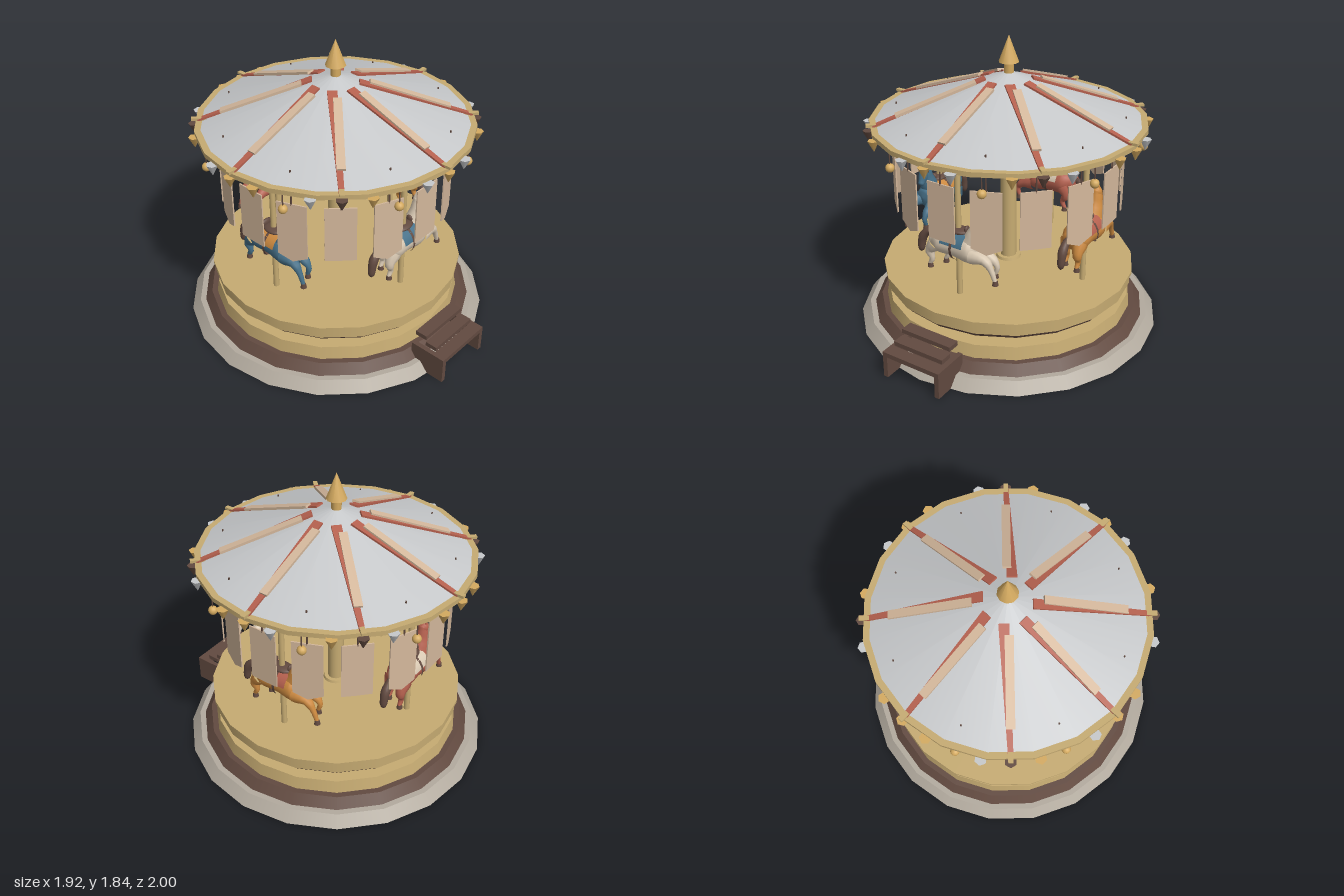
import * as THREE from 'three';

const mat = (name, color) => {
  const m = new THREE.MeshStandardMaterial({ color });
  m.name = name;
  return m;
};

const TAU = Math.PI * 2;
const SLOPE = Math.atan(0.285 / 0.8);

export function createModel() {
  const M = {
    gold: mat('pale gold', 0xc6ab72),
    bright: mat('bright gold', 0xd4aa60),
    brown: mat('dark brown', 0x624a40),
    stone: mat('stone', 0xb2aa9e),
    silver: mat('silver', 0xc6c8ca),
    tan: mat('tan cloth', 0xd4b89c),
    cream: mat('cream', 0xd8c8b2),
    blue: mat('blue', 0x467088),
    orange: mat('orange', 0xcd8a40),
    red: mat('red', 0xb4604e),
  };

  const model = new THREE.Group();
  model.name = 'carousel';
  const ride = new THREE.Group();
  ride.name = 'ride';
  ride.position.z = -0.04;
  model.add(ride);

  const add = (parent, name, geo, material, x = 0, y = 0, z = 0) => {
    const mesh = new THREE.Mesh(geo, material);
    mesh.name = name;
    mesh.position.set(x, y, z);
    parent.add(mesh);
    return mesh;
  };
  const box = (parent, name, w, h, d, m, x, y, z) =>
    add(parent, name, new THREE.BoxGeometry(w, h, d), m, x, y, z);
  // upright drum between two heights
  const drum = (parent, name, rTop, rBottom, y0, y1, m, sides = 20, x = 0, z = 0) =>
    add(parent, name, new THREE.CylinderGeometry(rTop, rBottom, y1 - y0, sides), m, x, (y0 + y1) / 2, z);
  // group turned about the axis; its +z points outward
  const spoke = (name, angle) => {
    const g = new THREE.Group();
    g.name = name;
    g.rotation.y = angle;
    ride.add(g);
    return g;
  };

  // base and deck
  drum(ride, 'stoneBase', 0.905, 0.96, 0, 0.065, M.stone);
  drum(ride, 'lowerSkirt', 0.825, 0.87, 0.065, 0.125, M.brown);
  drum(ride, 'lowerPlinth', 0.775, 0.79, 0.125, 0.205, M.gold);
  drum(ride, 'turntableHub', 0.19, 0.2, 0.2, 0.26, M.gold);
  drum(ride, 'deckSkirt', 0.775, 0.755, 0.257, 0.292, M.brown);
  drum(ride, 'deckBand', 0.785, 0.785, 0.29, 0.355, M.gold);
  drum(ride, 'deck', 0.797, 0.797, 0.355, 0.375, M.gold);
  drum(ride, 'poleCollar', 0.075, 0.08, 0.375, 0.392, M.gold);
  drum(ride, 'centrePole', 0.05, 0.05, 0.375, 1.31, M.gold);

  // canopy
  drum(ride, 'canopyRim', 0.838, 0.838, 1.304, 1.333, M.gold);
  drum(ride, 'canopyRoof', 0.002, 0.8, 1.333, 1.62, M.silver);
  drum(ride, 'finialNeck', 0.03, 0.03, 1.61, 1.68, M.bright, 10);
  drum(ride, 'finialCone', 0.001, 0.062, 1.675, 1.835, M.bright, 10);

  // roof ribs: a tapered red strip with a cloth plank beside it
  const k = 1 / Math.cos(SLOPE);
  const strip = new THREE.Shape([
    [0.14, -0.005], [0.82, -0.015], [0.82, 0.015], [0.14, 0.055],
  ].map(([x, y]) => new THREE.Vector2(x * k, y)));
  const stripGeo = new THREE.ExtrudeGeometry(strip, { depth: 0.012, bevelEnabled: false });
  stripGeo.rotateX(Math.PI / 2);
  for (let i = 0; i < 8; i++) {
    const g = spoke('roofRib', (i * TAU) / 8);
    add(g, 'ribStrip', stripGeo, M.red, 0, 1.632, 0).rotation.z = -SLOPE;
    box(g, 'ribPlank', 0.48 * k, 0.016, 0.05, M.tan, 0.44, 1.635 - 0.44 * Math.tan(SLOPE), -0.003)
      .rotation.z = -SLOPE;
    box(g, 'ribTip', 0.09, 0.016, 0.028, M.gold, 0.81, 1.341, 0);
  }

  // cloth panels on hangers, alternately straight and pointed
  for (let i = 0; i < 16; i++) {
    const g = spoke('hangingPanel', (i * TAU) / 16);
    const tip = i % 2 ? 0.765 : 0.803;
    const shape = new THREE.Shape([
      [-0.09, 0.805], [0, tip], [0.09, 0.805], [0.09, 1.16], [-0.09, 1.16],
    ].map(([x, y]) => new THREE.Vector2(x, y)));
    add(g, 'panel', new THREE.ExtrudeGeometry(shape, { depth: 0.008, bevelEnabled: false }), M.tan, 0, 0, 0.696);
    drum(g, 'panelHanger', 0.005, 0.005, 1.15, i % 2 ? 1.378 : 1.31, M.brown, 6, 0, 0.7);
  }

  // rim ornaments: small drops with round baubles between
  for (let i = 0; i < 32; i++) {
    const g = spoke('rimOrnament', (i * TAU) / 32);
    if (i % 4 === 2) {
      drum(g, 'baubleRod', 0.004, 0.004, 1.21, 1.31, M.brown, 6, 0, 0.812);
      add(g, 'bauble', new THREE.SphereGeometry(0.027, 14, 10), M.bright, 0, 1.2, 0.812);
      continue;
    }
    const n = Math.min(i, 32 - i);
    const m = n % 8 === 0 ? M.bright : n % 4 === 0 ? M.brown : n % 4 === 1 ? M.silver : M.bright;
    drum(g, 'drop', 0.036, 0.002, 1.245, 1.312, m, 6, 0, 0.84);
  }

  // round form swept along a path, with a radius at each point
  const loft = (pts, radii, steps = 14, sides = 12) => {
    const curve = new THREE.CatmullRomCurve3(pts.map(([x, y, z = 0]) => new THREE.Vector3(x, y, z)));
    const pos = [], idx = [];
    for (let i = 0; i <= steps; i++) {
      const t = i / steps, p = curve.getPoint(t), d = curve.getTangent(t);
      const len = Math.hypot(d.x, d.y);
      const f = t * (radii.length - 1), a = Math.min(Math.floor(f), radii.length - 2);
      const s = f - a;
      const r = radii[a] + (radii[a + 1] - radii[a]) * (radii[a] && radii[a + 1] ? s * s * (3 - 2 * s)
        : radii[a] ? 1 - Math.sqrt(1 - s * s) : Math.sqrt(1 - (1 - s) ** 2));
      for (let j = 0; j < sides; j++) {
        const u = (j / sides) * TAU, c = r * Math.cos(u);
        pos.push(p.x - (d.y / len) * c, p.y + (d.x / len) * c, p.z + r * Math.sin(u));
        if (i === steps) continue;
        const q = i * sides + j, w = i * sides + ((j + 1) % sides);
        idx.push(q, w, q + sides, w, w + sides, q + sides);
      }
    }
    const geo = new THREE.BufferGeometry();
    geo.setAttribute('position', new THREE.Float32BufferAttribute(pos, 3));
    geo.setIndex(idx);
    geo.computeVertexNormals();
    return geo;
  };

  // galloping horse parts, facing +x
  const bodyGeo = loft(
    [[-0.19, 0.71], [-0.165, 0.715], [-0.1, 0.715], [0, 0.71], [0.1, 0.705], [0.16, 0.715], [0.185, 0.715]],
    [0, 0.06, 0.087, 0.08, 0.088, 0.06, 0], 24, 16);
  const neckGeo = loft([[0.07, 0.7], [0.115, 0.79], [0.135, 0.87], [0.14, 0.925], [0.14, 0.945]],
    [0.075, 0.058, 0.04, 0.03, 0]);
  const headGeo = loft([[0.115, 0.935], [0.14, 0.92], [0.165, 0.87], [0.188, 0.828], [0.198, 0.81]],
    [0, 0.034, 0.031, 0.022, 0], 16);
  const tailGeo = loft([[-0.16, 0.74], [-0.215, 0.735], [-0.26, 0.69], [-0.275, 0.63], [-0.28, 0.575]],
    [0.012, 0.022, 0.028, 0.024, 0]);
  const legs = [
    [[0.12, 0.69, 0.04], [0.22, 0.685, 0.05], [0.262, 0.63, 0.05], [0.285, 0.57, 0.05]],
    [[0.11, 0.67, -0.04], [0.2, 0.645, -0.05], [0.235, 0.605, -0.05], [0.222, 0.55, -0.05]],
    [[-0.13, 0.7, 0.04], [-0.175, 0.64, 0.05], [-0.16, 0.59, 0.05], [-0.178, 0.55, 0.05]],
    [[-0.11, 0.7, -0.04], [-0.14, 0.64, -0.05], [-0.115, 0.59, -0.05], [-0.135, 0.545, -0.05]],
  ];
  const legGeos = legs.map((p) => loft(p, [0.052, 0.03, 0.017, 0.013], 10, 10));
  const wrap = (r, length, start, sweep) => {
    const geo = new THREE.CylinderGeometry(r, r, length, 18, 1, true, start, sweep);
    return geo.rotateZ(Math.PI / 2);
  };
  const blanketGeo = wrap(0.092, 0.155, Math.PI / 2 - 1.35, 2.7);
  const girthGeo = wrap(0.094, 0.018, 0, TAU);
  const ball = new THREE.SphereGeometry(1, 14, 10);

  const horses = [
    ['creamHorse', M.cream, M.blue],
    ['orangeHorse', M.orange, M.red],
    ['redHorse', M.red, M.cream],
    ['blueHorse', M.blue, M.orange],
  ];
  horses.forEach(([name, coat, cloth], i) => {
    const g = spoke(name + 'Mount', (i * TAU) / 4);
    drum(g, 'horsePole', 0.018, 0.018, 0.375, 1.31, M.gold, 12, 0, 0.54);
    const h = new THREE.Group();
    h.name = name;
    h.position.z = 0.54;
    g.add(h);
    add(h, 'body', bodyGeo, coat);
    add(h, 'neck', neckGeo, coat);
    add(h, 'head', headGeo, coat);
    add(h, 'tail', tailGeo, M.brown);
    for (const s of [-1, 1]) {
      add(h, 'ear', new THREE.ConeGeometry(0.011, 0.045, 8), coat, 0.138, 0.953, s * 0.017);
      add(h, 'eye', ball, M.brown, 0.155, 0.9, s * 0.03).scale.setScalar(0.005);
    }
    legGeos.forEach((geo, j) => {
      add(h, 'leg', geo, coat);
      const [x, y, z] = legs[j][3];
      drum(h, 'hoof', 0.014, 0.019, y - 0.022, y + 0.006, M.brown, 10, x + 0.003, z);
    });
    add(h, 'saddleBlanket', blanketGeo, cloth, 0, 0.712, 0);
    add(h, 'girth', girthGeo, M.brown, 0, 0.711, 0);
    add(h, 'saddleSeat', ball, M.brown, 0, 0.803, 0).scale.set(0.075, 0.02, 0.05);
    add(h, 'saddleBack', ball, M.brown, -0.062, 0.822, 0).scale.set(0.014, 0.024, 0.042);
    add(h, 'saddlePommel', ball, M.brown, 0.06, 0.822, 0).scale.set(0.012, 0.024, 0.022);
  });

  // entrance steps
  const steps = new THREE.Group();
  steps.name = 'entranceSteps';
  model.add(steps);
  for (const s of [-1, 1]) box(steps, 'stepSide', 0.03, 0.17, 0.235, M.brown, s * 0.185, 0.085, 0.8825);
  box(steps, 'lowerTread', 0.4, 0.03, 0.08, M.brown, 0, 0.155, 0.96);
  box(steps, 'middleTread', 0.345, 0.028, 0.078, M.brown, 0, 0.194, 0.886);
  box(steps, 'upperTread', 0.345, 0.028, 0.078, M.brown, 0, 0.236, 0.81);

  return model;
}
